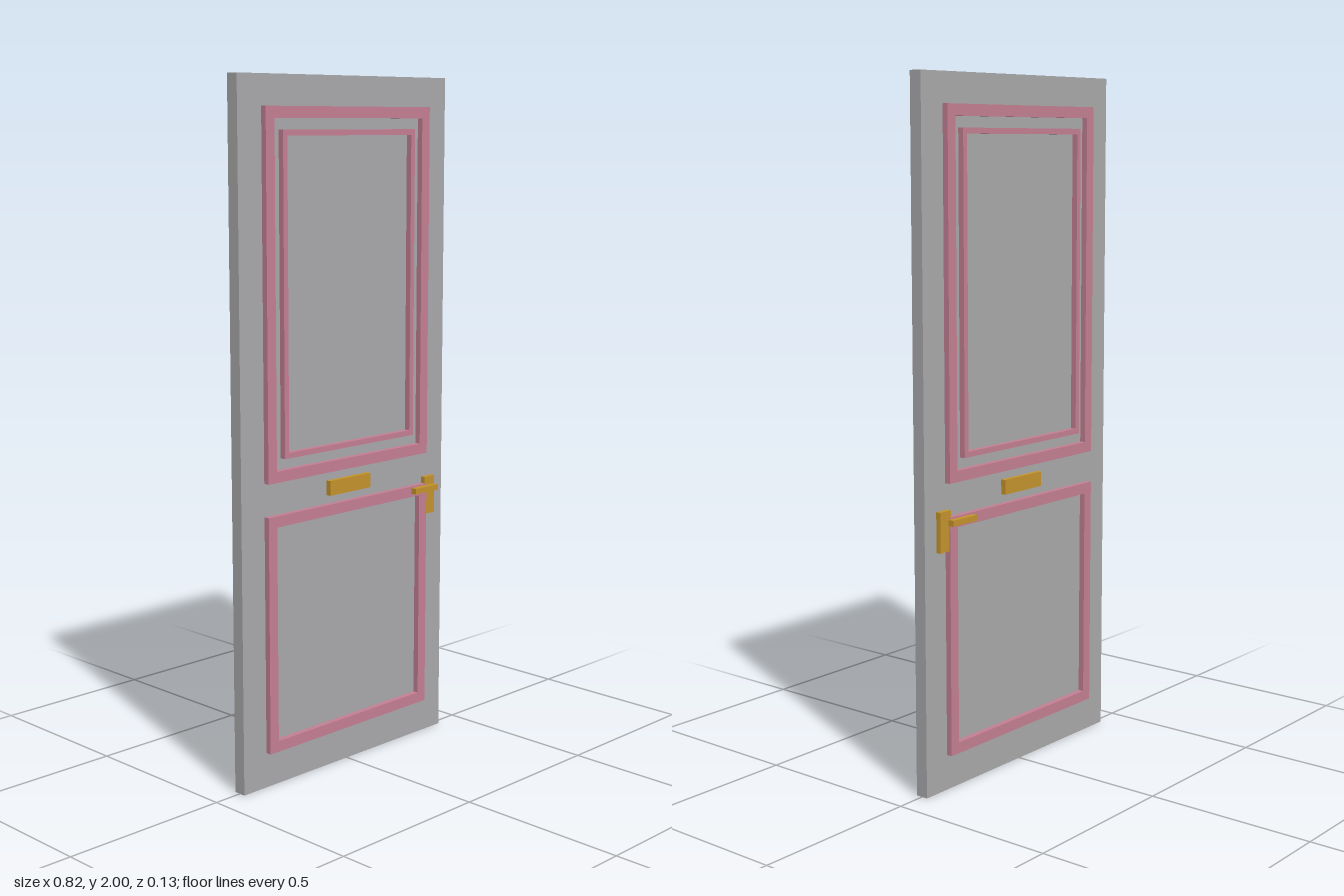
import * as THREE from 'three';

export function createModel() {
  const door = new THREE.Group();
  door.name = 'door';

  const mat = (name, color) => {
    const m = new THREE.MeshStandardMaterial({ color });
    m.name = name;
    return m;
  };
  const grey = mat('greyPaint', 0xa9a9ab);
  const pink = mat('pinkTrim', 0xc47f93);
  const brass = mat('brass', 0xc4932c);

  const add = (name, geometry, material) => {
    const mesh = new THREE.Mesh(geometry, material);
    mesh.name = name;
    door.add(mesh);
    return mesh;
  };

  // Box given by its limits on each axis
  const box = (name, x0, x1, y0, y1, z0, z1, material) =>
    add(name, new THREE.BoxGeometry(x1 - x0, y1 - y0, z1 - z0), material)
      .position.set((x0 + x1) / 2, (y0 + y1) / 2, (z0 + z1) / 2);

  const rect = (path, w, y0, y1) => {
    path.moveTo(-w, y0);
    path.lineTo(w, y0);
    path.lineTo(w, y1);
    path.lineTo(-w, y1);
    path.closePath();
    return path;
  };

  // Rectangular moulding ring, w = half width, t = strip width
  const moulding = (name, w, y0, y1, t, z0, z1) => {
    const shape = rect(new THREE.Shape(), w, y0, y1);
    shape.holes.push(rect(new THREE.Path(), w - t, y0 + t, y1 - t));
    const g = new THREE.ExtrudeGeometry(shape, { depth: z1 - z0, bevelEnabled: false });
    add(name, g.translate(0, 0, z0), pink);
  };

  // Door leaf
  const half = 0.019;
  box('doorLeaf', -0.412, 0.412, 0, 2, -half, half, grey);

  // Mouldings and fittings, mirrored on both faces
  for (const [side, s] of [['front', 1], ['back', -1]]) {
    const span = (a, b) => (s > 0 ? [a, b] : [-b, -a]);
    const trim = span(half, 0.0365);
    const plate = span(half, 0.034);

    moulding(side + 'UpperFrame', 0.326, 0.887, 1.915, 0.032, ...trim);
    moulding(side + 'UpperInnerBead', 0.263, 0.95, 1.852, 0.016, ...trim);
    moulding(side + 'LowerFrame', 0.326, 0.103, 0.792, 0.032, ...trim);

    box(side + 'LetterPlate', -0.083, 0.083, 0.817, 0.86, ...plate, brass);
    box(side + 'HandlePlate', 0.32, 0.364, 0.697, 0.812, ...plate, brass);
    box(side + 'HandleLever', 0.246, 0.346, 0.774, 0.791, ...span(0.048, 0.066), brass);
  }
  return door;
}
